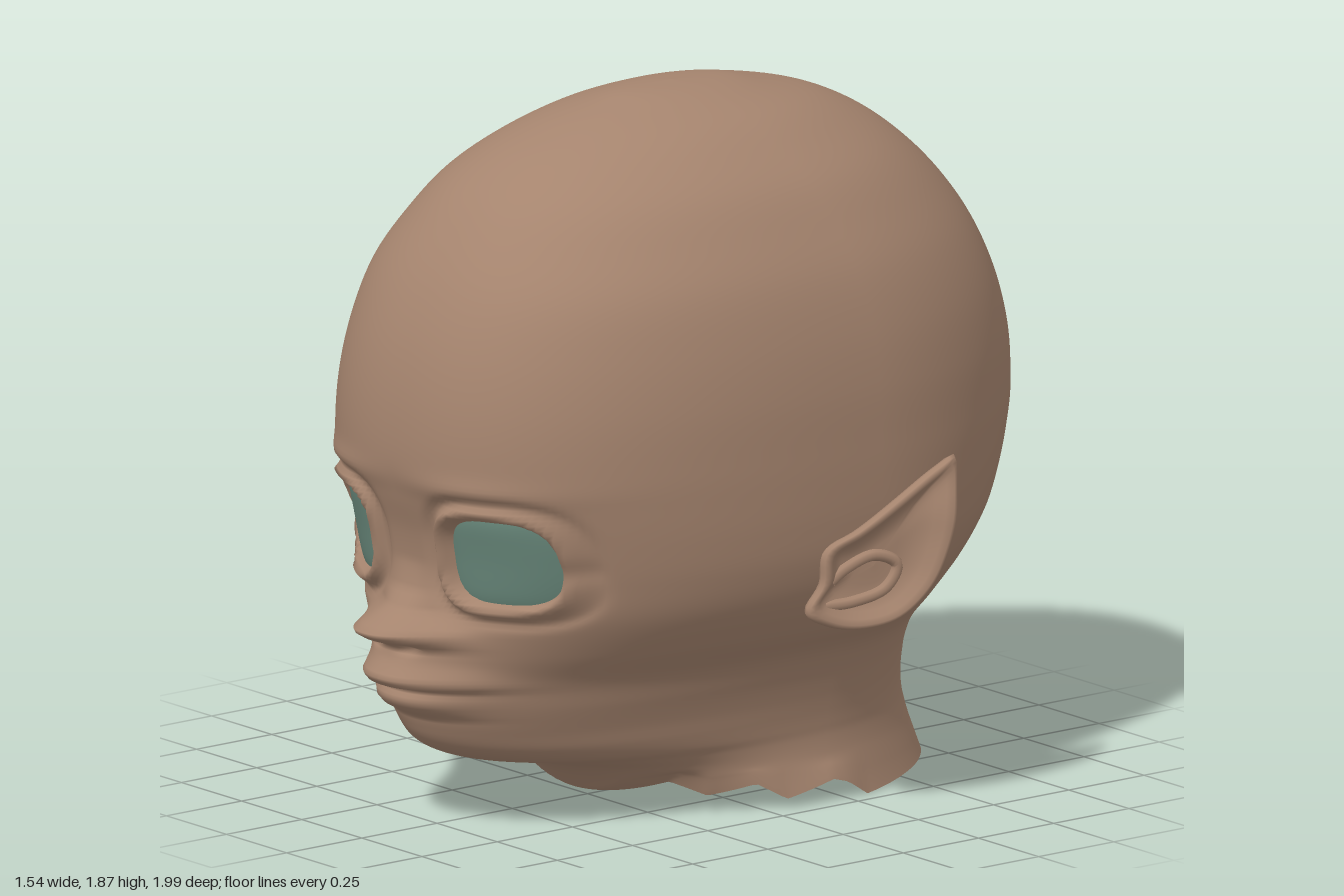
import * as THREE from 'three';

// Skull sections: y, front z, back z, half width, z of greatest width, squareness of the front
const skull = [
  [1.87, -0.03, -0.03, 0, -0.03, 2], [1.862, 0.11, -0.19, 0.08, -0.04, 2],
  [1.84, 0.21, -0.3, 0.165, -0.06, 2.05], [1.8, 0.35, -0.46, 0.27, -0.08, 2.1],
  [1.74, 0.5, -0.59, 0.36, -0.1, 2.2], [1.66, 0.625, -0.7, 0.45, -0.13, 2.3],
  [1.56, 0.72, -0.8, 0.52, -0.16, 2.4], [1.44, 0.8, -0.885, 0.585, -0.18, 2.5],
  [1.3, 0.86, -0.95, 0.628, -0.2, 2.5], [1.15, 0.895, -0.99, 0.652, -0.2, 2.5],
  [1.0, 0.905, -0.997, 0.66, -0.2, 2.5], [0.9, 0.885, -0.98, 0.662, -0.2, 2.5],
  [0.8, 0.855, -0.95, 0.66, -0.2, 2.5], [0.7, 0.84, -0.905, 0.65, -0.2, 2.45],
  [0.6, 0.84, -0.83, 0.62, -0.2, 2.4], [0.5, 0.84, -0.745, 0.56, -0.2, 2.3],
];
// Jaw and neck sections are tilted: front y, front z, back y, back z, half width, squareness
const jaw = [
  [0.41, 0.845, 0.43, -0.7, 0.495, 2.15], [0.33, 0.835, 0.37, -0.68, 0.465, 2.1],
  [0.26, 0.815, 0.31, -0.675, 0.447, 2], [0.21, 0.77, 0.26, -0.675, 0.437, 2],
  [0.175, 0.69, 0.22, -0.68, 0.432, 2], [0.155, 0.57, 0.18, -0.69, 0.43, 2],
  [0.13, 0.45, 0.12, -0.71, 0.435, 2], [0.09, 0.37, 0.07, -0.73, 0.447, 2],
  [0.03, 0.3, 0.03, -0.745, 0.462, 2],
];
const sections = [
  ...skull.map(([y, f, b, w, c, n]) => [y, f, y, b, w, c, n]),
  ...jaw.map(([yf, f, yb, b, w, n]) => [yf, f, yb, b, w, -0.2, n]),
];

// Smooth interpolation between sections
function sectionAt(t) {
  const last = sections.length - 1;
  const i = Math.min(Math.floor(t), last - 1), u = t - i;
  const k = (j) => sections[Math.max(0, Math.min(last, j))];
  return k(i).map((p1, c) => {
    const p0 = k(i - 1)[c], p2 = k(i + 1)[c], p3 = k(i + 2)[c];
    return p1 + 0.5 * u * (p2 - p0 + u * (2 * p0 - 5 * p1 + 4 * p2 - p3 + u * (3 * (p1 - p2) + p3 - p0)));
  });
}

// Piecewise lookup in a list of [key, value] with falling keys
function lookup(table, k) {
  if (k >= table[0][0]) return table[0][1];
  for (let i = 1; i < table.length; i++) {
    const [a, va] = table[i - 1], [b, vb] = table[i];
    if (k >= b) return va + ((vb - va) * (a - k)) / (a - b);
  }
  return table[table.length - 1][1];
}

const bell = (v, s) => Math.exp(-(v * v) / (s * s));
const smooth = THREE.MathUtils.smoothstep;

// Surface of rings closed around the columns
function loft(rows, cols, point) {
  const pos = [], index = [];
  for (let i = 0; i <= rows; i++) for (let j = 0; j < cols; j++) pos.push(...point(i, j));
  for (let i = 0; i < rows; i++) for (let j = 0; j < cols; j++) {
    const k = (j + 1) % cols, a = i * cols + j, b = a + cols, c = i * cols + k, d = c + cols;
    index.push(a, b, c, b, d, c);
  }
  const g = new THREE.BufferGeometry();
  g.setAttribute('position', new THREE.Float32BufferAttribute(pos, 3));
  g.setIndex(index);
  g.computeVertexNormals();
  return g;
}

// Nose and lips: how far they stand out along the middle, and how wide they are
const relief = [
  [0.72, 0], [0.65, 0.018], [0.6, 0.055], [0.575, 0.1], [0.55, 0.158], [0.53, 0.145], [0.515, 0.1],
  [0.5, 0.065], [0.47, 0.072], [0.44, 0.09], [0.42, 0.105], [0.4, 0.09], [0.387, 0.035], [0.372, 0.058],
  [0.35, 0.062], [0.33, 0.045], [0.305, 0.005], [0.27, 0],
];
const reliefWidth = [
  [0.72, 0.07], [0.6, 0.09], [0.55, 0.145], [0.51, 0.16], [0.46, 0.16], [0.41, 0.2], [0.33, 0.17], [0.27, 0.2],
];
const eye = { x: 0.29, y: 0.757, w: 0.135, h: 0.117 };

function faceRelief(x, y) {
  const ax = Math.abs(x);
  let d = lookup(relief, y) * Math.exp(-Math.pow(ax / lookup(reliefWidth, y), 2.6));
  d -= 0.025 * bell(ax - 0.065, 0.03) * bell(y - 0.505, 0.012); // nostrils
  const ex = Math.abs(ax - eye.x) / eye.w, ey = Math.abs(y - eye.y) / eye.h;
  const r = Math.cbrt(ex ** 3 + ey ** 3);
  d -= 0.05 * (1 - smooth(r, 0.85, 1.05)); // socket
  d += 0.022 * bell(r - 1.15, 0.1) - 0.014 * bell(r - 1.42, 0.12); // lids and crease
  d -= 0.02 * bell(ax - 0.455, 0.025) * bell(y - 0.74, 0.03); // outer corner
  d += 0.014 * bell(y - 0.945, 0.035) * bell(ax - 0.28, 0.18); // brow
  return d;
}

// Ragged lower edge of the neck, by z
const neckEdge = [
  [0.3, 0.03], [0.2, 0.08], [0.13, 0.045], [0.02, 0.072], [-0.06, 0.025], [-0.2, 0.06], [-0.25, 0.045],
  [-0.32, 0], [-0.5, 0.015], [-0.74, 0.03],
];

function headGeometry() {
  const sub = 8, cols = 200, rows = (sections.length - 1) * sub;
  return loft(rows, cols, (i, j) => {
    const t = i / sub;
    const [yf, zf, yb, zb, w, zc, n] = sectionAt(t);
    // columns crowd towards the face
    const s = (2 * j) / cols > 1 ? (2 * j) / cols - 2 : (2 * j) / cols;
    const a = Math.PI * Math.pow(Math.abs(s), 1.4);
    const front = Math.cos(a) > 0, p = 2 / (front ? n : 2);
    const x = Math.sign(s) * w * Math.pow(Math.abs(Math.sin(a)), p);
    let z = zc + (front ? zf - zc : zb - zc) * Math.pow(Math.abs(Math.cos(a)), p);
    let y = zf - zb > 0.001 ? yb + ((yf - yb) * (z - zb)) / (zf - zb) : yf;
    y += (lookup(neckEdge, z) - 0.03) * smooth(t, sections.length - 3, sections.length - 1);
    if (front) z += faceRelief(x, y) * smooth(z, 0.35, 0.55);
    return [x, y, z];
  });
}

// Domed eye following the curve of the face
function eyeGeometry() {
  const cols = 48, rows = 12;
  return loft(rows, cols, (i, j) => {
    const a = (j / cols) * Math.PI * 2, c = Math.cos(a), s = Math.sin(a);
    const r = (1.06 * i) / rows / Math.cbrt(Math.abs(c) ** 3 + Math.abs(s) ** 3);
    const x = eye.x + eye.w * r * c, y = eye.y + eye.h * r * s;
    const [, zf, , , w, zc, n] = sectionAt(10 + (1 - y) * 10);
    const z = zc + (zf - zc) * Math.pow(1 - Math.pow(x / w, n), 1 / n);
    return [x, y, z - 0.008 - 0.014 * (i / rows) ** 4];
  });
}

// Ear leans away from the head towards its back edge and tip
const earX = (y, z) =>
  0.655 + 0.108 * THREE.MathUtils.clamp((0.02 - z) / 0.38, -0.1, 1) - 0.025 * smooth(y, 0.78, 0.96);

function earGeometry() {
  const outline = new THREE.CatmullRomCurve3([
    [0.04, 0.575], [-0.02, 0.535], [-0.11, 0.52], [-0.21, 0.54], [-0.3, 0.62], [-0.35, 0.73], [-0.375, 0.85],
    [-0.382, 0.955], [-0.34, 0.935], [-0.22, 0.86], [-0.1, 0.785], [-0.01, 0.735], [0.0, 0.65],
  ].map(([z, y]) => new THREE.Vector3(0, y, z)), true, 'centripetal');
  const cols = 80, edge = outline.getSpacedPoints(cols);
  // ring size and height: bowl, rolled rim, then the back running into the head
  const rings = [
    [0, -0.03], [0.3, -0.032], [0.55, -0.03], [0.72, -0.014], [0.83, 0.002], [0.92, 0.01], [0.98, 0.006],
    [1, -0.006], [0.97, -0.02], [0.85, -0.035], [0.65, -0.06], [0.5, -0.1], [0.45, -0.16],
  ];
  return loft(rings.length - 1, cols, (i, j) => {
    const [k, h] = rings[i], y = 0.68 + (edge[j].y - 0.68) * k, z = -0.16 + (edge[j].z + 0.16) * k;
    return [earX(y, z) + h, y, z];
  });
}

// Curled inner fold of the ear
function earFoldGeometry() {
  const path = [[-0.02, 0.585], [-0.1, 0.59], [-0.19, 0.62], [-0.22, 0.68], [-0.16, 0.71], [-0.08, 0.68], [-0.04, 0.65]];
  const curve = new THREE.CatmullRomCurve3(path.map(([z, y]) => new THREE.Vector3(earX(y, z) - 0.025, y, z)));
  return new THREE.TubeGeometry(curve, 40, 0.016, 8);
}

export function createModel() {
  const skin = new THREE.MeshStandardMaterial({ color: 0xa5846e, side: THREE.DoubleSide });
  skin.name = 'skin';
  const iris = new THREE.MeshStandardMaterial({ color: 0x68877a, side: THREE.DoubleSide });
  iris.name = 'eye green';

  const model = new THREE.Group();
  model.name = 'elfHead';
  const add = (parent, name, geometry, material) => {
    const mesh = new THREE.Mesh(geometry, material);
    mesh.name = name;
    parent.add(mesh);
  };
  add(model, 'head', headGeometry(), skin);

  const eyeShape = eyeGeometry(), earShape = earGeometry(), foldShape = earFoldGeometry();
  for (const side of [1, -1]) {
    const half = new THREE.Group();
    half.name = side > 0 ? 'leftFeatures' : 'rightFeatures';
    half.scale.x = side;
    add(half, 'eye', eyeShape, iris);
    add(half, 'ear', earShape, skin);
    add(half, 'earFold', foldShape, skin);
    model.add(half);
  }
  return model;
}
